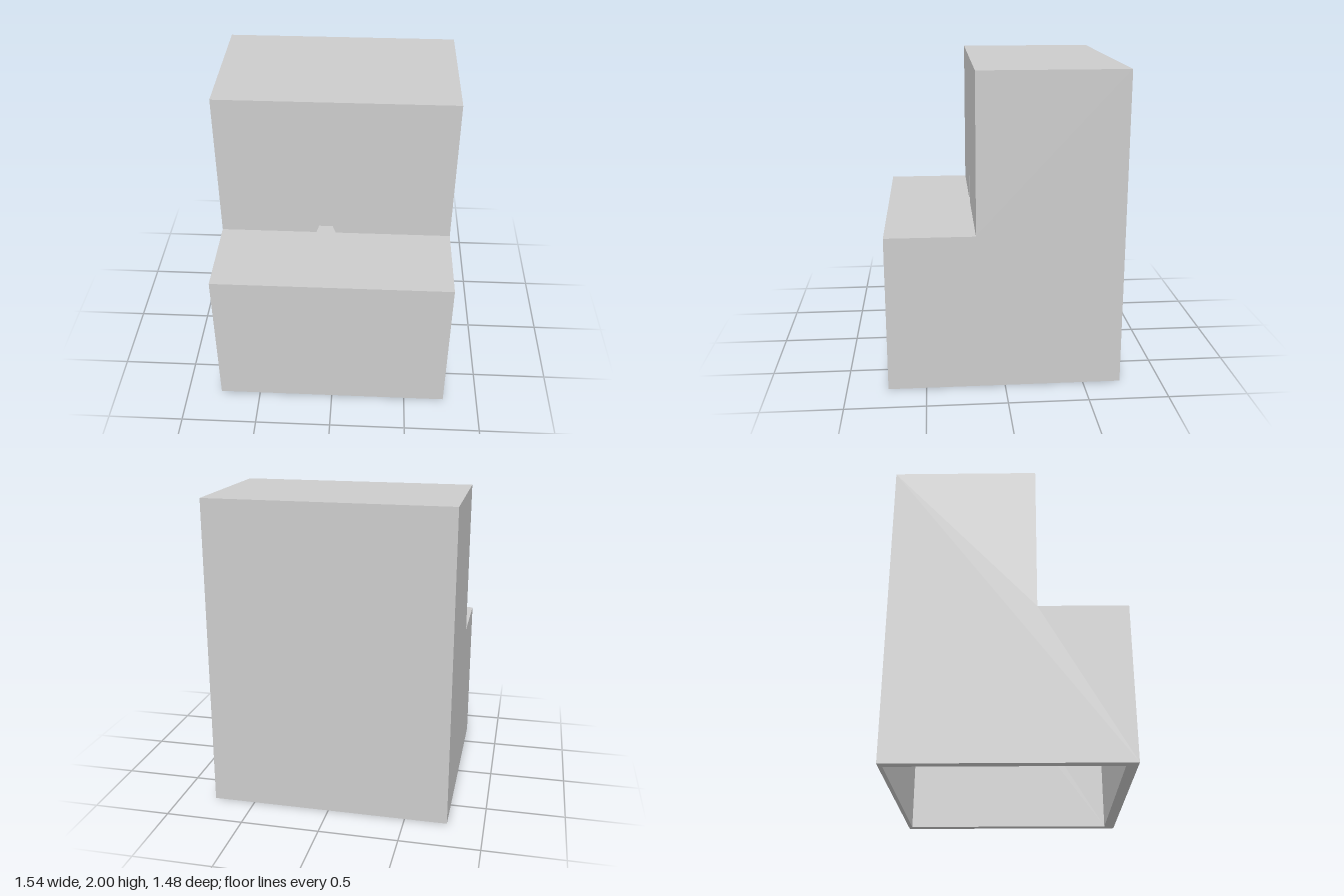
import * as THREE from 'three';

const material = new THREE.MeshStandardMaterial({ color: 0xcccccc, flatShading: true, side: THREE.DoubleSide });

// Side profiles as [z, y], from the front foot over the step to the back foot
const outer = { halfWidth: 0.77, riserZ: 0.18, profile: [[0.74, 0], [0.74, 1], [0.18, 1], [0.18, 2], [-0.74, 2], [-0.74, 0]] };
const inner = { halfWidth: 0.71, riserZ: 0.11, profile: [[0.67, 0], [0.67, 0.93], [0.11, 0.93], [0.11, 1], [0.11, 1.93], [-0.715, 1.93], [-0.715, 0]] };

// Tapered opening at the foot of the riser, as [x, y]
const notch = [[-0.13, 1], [-0.1, 1.09], [-0.08, 1.17], [-0.073, 1.187], [-0.058, 1.187], [-0.051, 1.17], [-0.033, 1.09], [0, 1]];

const toShape = (points) => new THREE.Shape(points.map(([x, y]) => new THREE.Vector2(x, y)));

function add(group, name, geometry) {
  const mesh = new THREE.Mesh(geometry, material);
  mesh.name = name;
  group.add(mesh);
  return mesh;
}

// Flat four-cornered panel
function quad(a, b, c, d) {
  const geometry = new THREE.BufferGeometry();
  geometry.setAttribute('position', new THREE.Float32BufferAttribute([a, b, c, d].flat(), 3));
  geometry.setIndex([0, 1, 2, 0, 2, 3]);
  geometry.computeVertexNormals();
  return geometry;
}

// One stepped skin: a panel per profile segment and two L-shaped sides
function makeSkin(name, { halfWidth: w, riserZ, profile }) {
  const skin = new THREE.Group();
  skin.name = name;
  for (let i = 0; i < profile.length - 1; i++) {
    const [z0, y0] = profile[i];
    const [z1, y1] = profile[i + 1];
    if (z0 === riserZ && z1 === riserZ && y0 === 1) {
      // Riser with the notch cut into its lower edge
      const outline = [[-w, y0], ...notch, [w, y0], [w, y1], [-w, y1]].map(([x, y]) => [x, y]);
      add(skin, 'riser', new THREE.ShapeGeometry(toShape(outline)).translate(0, 0, riserZ));
    } else {
      add(skin, 'panel', quad([-w, y0, z0], [w, y0, z0], [w, y1, z1], [-w, y1, z1]));
    }
  }
  for (const side of [-1, 1]) {
    const geometry = new THREE.ShapeGeometry(toShape(profile)).rotateY(-Math.PI / 2);
    if (side > 0) geometry.index.array.reverse();
    geometry.translate(side * w, 0, 0);
    geometry.computeVertexNormals();
    add(skin, side > 0 ? 'leftSide' : 'rightSide', geometry);
  }
  return skin;
}

export function createModel() {
  const model = new THREE.Group();
  model.name = 'steppedHollowBlock';
  model.add(makeSkin('outerShell', outer), makeSkin('innerCavity', inner));

  // Underside rim joining the two skins
  const rectangle = ({ halfWidth: w, profile }) => {
    const front = profile[0][0];
    const back = profile[profile.length - 1][0];
    return [[-w, back], [w, back], [w, front], [-w, front]];
  };
  const rim = toShape(rectangle(outer));
  rim.holes.push(toShape(rectangle(inner)));
  add(model, 'bottomRim', new THREE.ShapeGeometry(rim).rotateX(Math.PI / 2));

  // Walls and sill through the thickness of the riser
  const opening = new THREE.Group();
  opening.name = 'notchOpening';
  notch.forEach(([x0, y0], i) => {
    const [x1, y1] = notch[(i + 1) % notch.length];
    add(opening, 'notchWall', quad(
      [x0, y0, outer.riserZ], [x0, y0, inner.riserZ], [x1, y1, inner.riserZ], [x1, y1, outer.riserZ]));
  });
  model.add(opening);
  return model;
}
